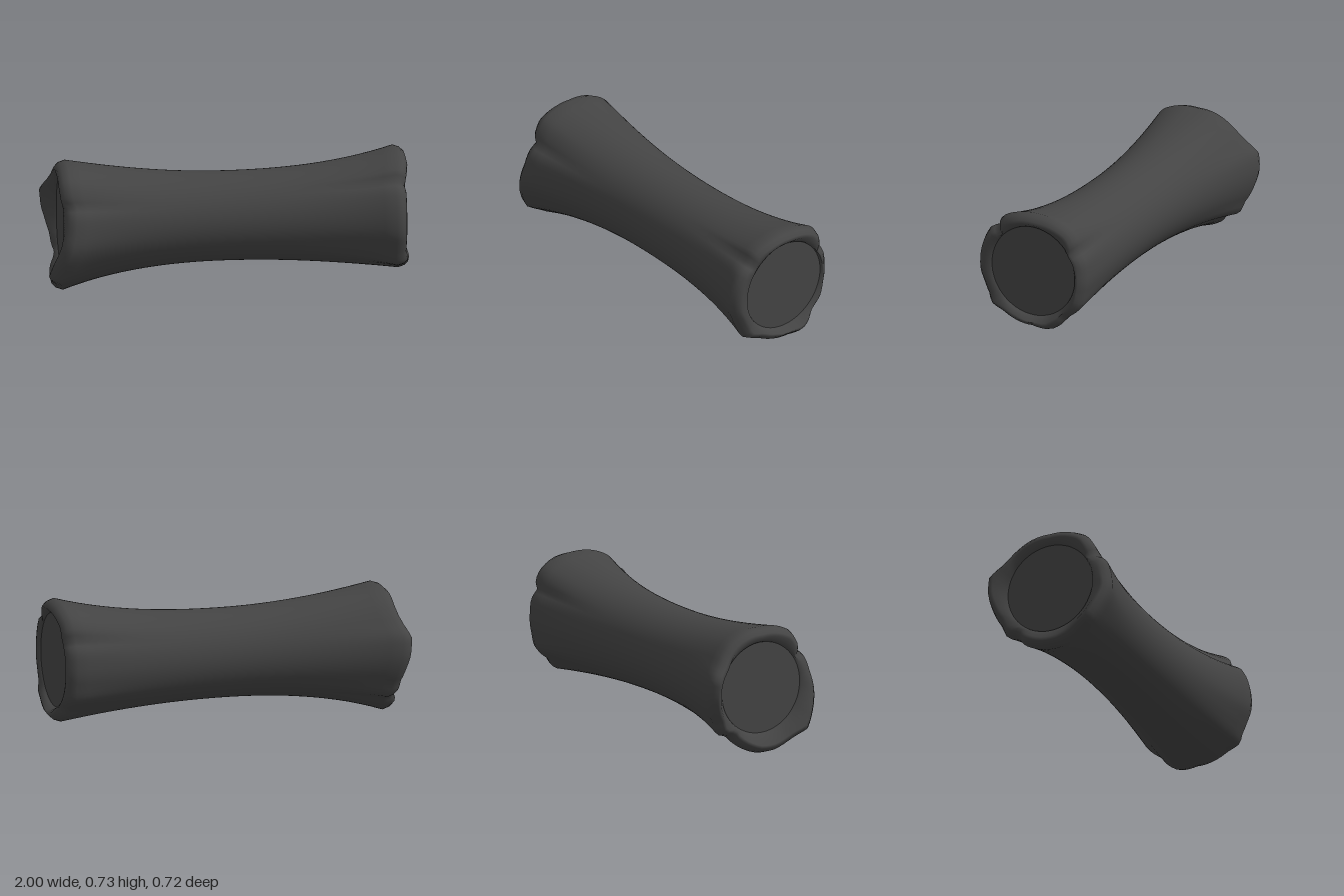
import * as THREE from 'three';

const CY = 0.375, MID = 0.246, SEG = 72;

// End outlines: [z, y, x of the rim tip], going round the rim
const leftRim = [
  [0.36, 0.3, 0.94], [0.32, 0.18, 0.98], [0.275, 0.1, 1], [0.2, 0.06, 0.98], [0.15, 0.03, 0.97],
  [0.07, 0, 0.97], [-0.03, 0, 0.97], [-0.13, 0.04, 0.96], [-0.17, 0.07, 0.94], [-0.2, 0.11, 0.93],
  [-0.27, 0.13, 0.94], [-0.3, 0.2, 0.95], [-0.34, 0.28, 0.97], [-0.36, 0.36, 0.99], [-0.35, 0.47, 1],
  [-0.29, 0.54, 0.97], [-0.25, 0.59, 0.95], [-0.2, 0.64, 0.94], [-0.1, 0.69, 0.94], [0, 0.7, 0.94],
  [0.12, 0.69, 0.94], [0.21, 0.65, 0.94], [0.26, 0.57, 0.93], [0.265, 0.53, 0.91], [0.31, 0.5, 0.91],
  [0.345, 0.4, 0.92],
];
const rightRim = [
  [0.355, 0.33, 0.96], [0.33, 0.27, 0.96], [0.3, 0.2, 0.96], [0.28, 0.15, 0.97], [0.2, 0.12, 0.98],
  [0.1, 0.08, 0.99], [0, 0.075, 1], [-0.1, 0.07, 1], [-0.15, 0.1, 0.99], [-0.19, 0.15, 0.97],
  [-0.27, 0.22, 0.96], [-0.29, 0.3, 0.96], [-0.3, 0.42, 0.96], [-0.29, 0.5, 0.96], [-0.25, 0.55, 0.96],
  [-0.255, 0.6, 0.97], [-0.22, 0.66, 0.97], [-0.13, 0.71, 0.98], [-0.02, 0.725, 0.98],
  [0.13, 0.71, 0.98], [0.2, 0.68, 0.97], [0.24, 0.64, 0.96], [0.232, 0.6, 0.95], [0.285, 0.6, 0.96],
  [0.325, 0.54, 0.96], [0.355, 0.44, 0.96],
];

// Resample an outline into radius and tip position at even angles
function sampleRim(points) {
  const polar = points.map(([z, y, x]) => ({
    a: (Math.atan2(y - CY, z) + 2 * Math.PI) % (2 * Math.PI), r: Math.hypot(z, y - CY), x,
  })).sort((p, q) => p.a - q.a);
  const first = polar[0], last = polar[polar.length - 1];
  polar.unshift({ ...last, a: last.a - 2 * Math.PI });
  polar.push({ ...first, a: first.a + 2 * Math.PI });
  return Array.from({ length: SEG }, (_, j) => {
    const a = j / SEG * 2 * Math.PI;
    const k = polar.findIndex(p => p.a > a);
    const p = polar[k - 1], q = polar[k], t = (a - p.a) / (q.a - p.a);
    return { a, r: p.r + (q.r - p.r) * t, x: p.x + (q.x - p.x) * t };
  });
}

// Rings of one half, from the waist out to the edge of the recessed cap
function halfRings(points, side, cap) {
  const rim = sampleRim(points);
  const mean = rim.reduce((s, p) => s + p.r, 0) / SEG;
  const ring = f => rim.map(p => {
    const [x, r] = f(p);
    return [side * x, CY + r * Math.sin(p.a), r * Math.cos(p.a)];
  });
  const rings = [];
  const steps = 14;
  for (let i = 0; i <= steps; i++) {
    const t = i / steps;
    rings.push(ring(p => [
      t * (p.x - 0.06), MID + (mean - MID) * t ** 2.1 + (p.r - mean) * t ** 3.5,
    ]));
  }
  // Rolled lip
  rings.push(ring(p => [p.x - 0.025, p.r - 0.012]));
  rings.push(ring(p => [p.x - 0.004, p.r - 0.032]));
  rings.push(ring(p => [p.x, Math.max(p.r - 0.05, 0.262)]));
  const capRing = (x, r) => rim.map(p =>
    [side * x, cap.y + r * Math.sin(p.a), cap.z + r * Math.cos(p.a)]);
  rings.push(capRing(cap.x + 0.012, cap.r + 0.006));
  rings.push(capRing(cap.x - 0.01, cap.r - 0.004));
  return rings;
}

function loft(rings) {
  const index = [];
  for (let i = 0; i < rings.length - 1; i++) {
    for (let j = 0; j < SEG; j++) {
      const k = (j + 1) % SEG;
      const a = i * SEG + j, b = a + SEG, c = i * SEG + k, d = c + SEG;
      index.push(a, b, c, b, d, c);
    }
  }
  const geo = new THREE.BufferGeometry();
  geo.setAttribute('position', new THREE.Float32BufferAttribute(rings.flat(2), 3));
  geo.setIndex(index);
  geo.computeVertexNormals();
  return geo;
}

export function createModel() {
  const group = new THREE.Group();
  group.name = 'log';
  const material = new THREE.MeshStandardMaterial({ color: 0x444444, side: THREE.DoubleSide });
  const caps = {
    left: { x: 0.91, y: 0.365, z: 0, r: 0.255 },
    right: { x: 0.945, y: 0.394, z: 0.01, r: 0.258 },
  };

  // Flared sleeve with uneven rolled lips
  const left = halfRings(leftRim, -1, caps.left);
  const right = halfRings(rightRim, 1, caps.right);
  const sleeve = new THREE.Mesh(loft([...left.reverse(), ...right.slice(1)]), material);
  sleeve.name = 'sleeve';
  group.add(sleeve);

  // Flat cut ends
  for (const [name, side] of [['left', -1], ['right', 1]]) {
    const c = caps[name];
    const cap = new THREE.Mesh(new THREE.CircleGeometry(c.r + 0.006, 16), material);
    cap.rotation.y = side * Math.PI / 2;
    cap.position.set(side * c.x, c.y, c.z);
    cap.name = name === 'left' ? 'endCapNegativeX' : 'endCapPositiveX';
    group.add(cap);
  }
  return group;
}
